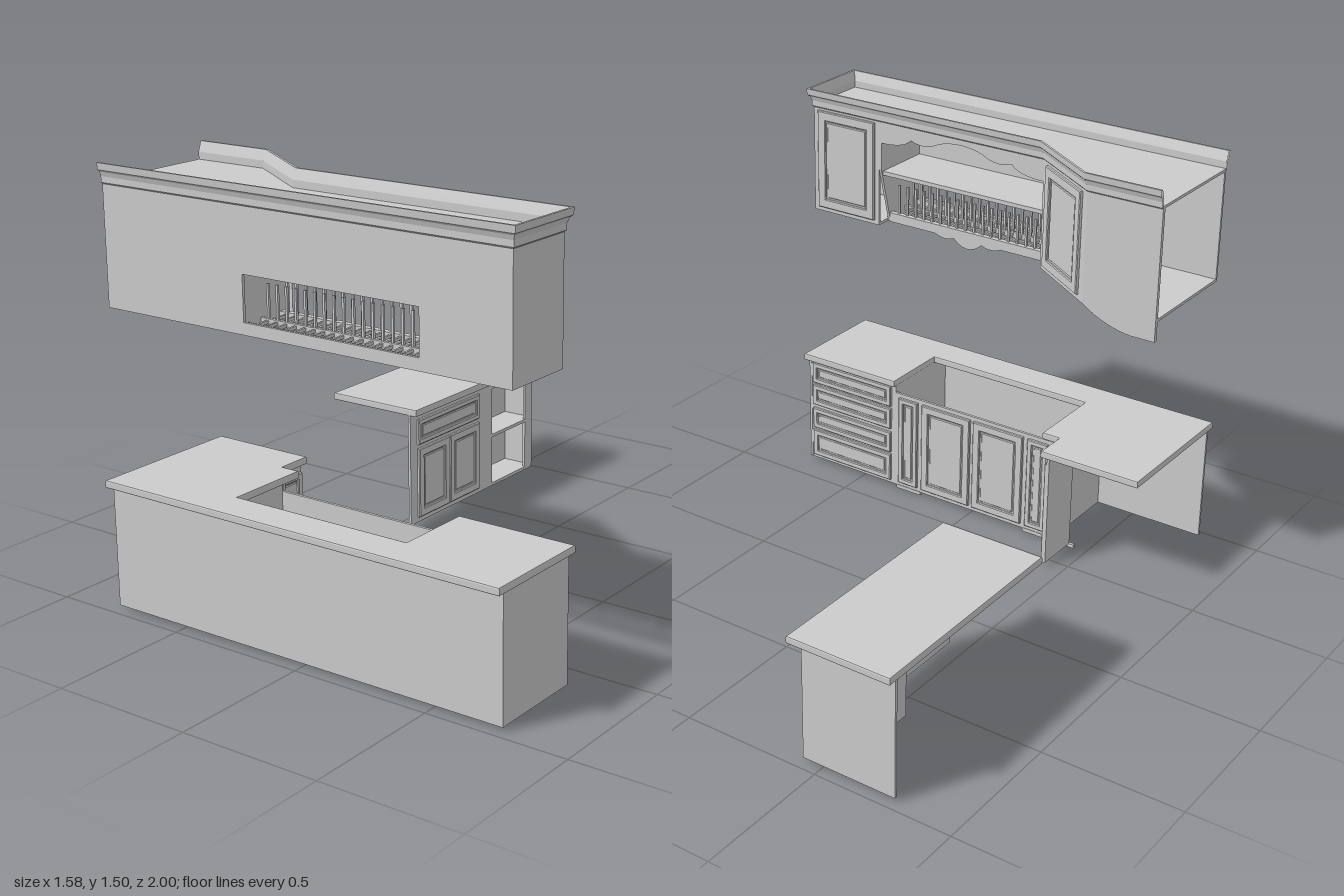
import * as THREE from 'three';

const grey = new THREE.MeshStandardMaterial({ color: 0xcccccc, side: THREE.DoubleSide });

export function createModel() {
  const root = new THREE.Group();
  root.name = 'kitchen';
  const group = (name, parent = root) => {
    const g = new THREE.Group();
    g.name = name;
    parent.add(g);
    return g;
  };
  const add = (name, geo, parent) => {
    const m = new THREE.Mesh(geo, grey);
    m.name = name;
    parent.add(m);
    return m;
  };
  // Box from its limits on each axis
  const box = (parent, name, x0, x1, y0, y1, z0, z1) => {
    const m = add(name, new THREE.BoxGeometry(x1 - x0, y1 - y0, z1 - z0), parent);
    m.position.set((x0 + x1) / 2, (y0 + y1) / 2, (z0 + z1) / 2);
    return m;
  };
  const shapeOf = pts => new THREE.Shape(pts.map(p => new THREE.Vector2(...p)));
  const rect = (x0, x1, y0, y1) => [[x0, y0], [x1, y0], [x1, y1], [x0, y1]];
  // Upright board in the xy plane, thickness towards +z
  const board = (parent, name, shape, z, depth) => {
    const m = add(name, new THREE.ExtrudeGeometry(shape, { depth, bevelEnabled: false, curveSegments: 10 }), parent);
    m.position.z = z;
    return m;
  };
  // Horizontal slab from an outline of [x, z] points
  const slab = (parent, name, pts, y, h, bevel = 0) => {
    const geo = new THREE.ExtrudeGeometry(shapeOf(pts.map(([x, z]) => [x, -z])), {
      depth: h - 2 * bevel, bevelEnabled: bevel > 0, bevelSize: bevel, bevelOffset: -bevel,
      bevelThickness: bevel, bevelSegments: 2,
    });
    geo.rotateX(-Math.PI / 2);
    const m = add(name, geo, parent);
    m.position.y = y + bevel;
    return m;
  };
  // Framed door or drawer front, centred, facing local +z
  const front = (parent, name, w, h, x, y, z, turn, frame = 0.03) => {
    const g = group(name, parent);
    const f = Math.min(frame, w * 0.24, h * 0.24), a = w / 2, b = h / 2;
    const s = shapeOf(rect(-a, a, -b, b));
    s.holes.push(new THREE.Path(rect(f - a, a - f, f - b, b - f).map(p => new THREE.Vector2(...p))));
    const bevel = { bevelEnabled: true, bevelSize: 0.003, bevelOffset: -0.003, bevelThickness: 0.003, bevelSegments: 1 };
    add('frame', new THREE.ExtrudeGeometry(s, { depth: 0.008, ...bevel }), g);
    const inner = shapeOf(rect(f - a, a - f, f - b, b - f));
    const raised = shapeOf(rect(f - a + 0.006, a - f - 0.006, f - b + 0.006, b - f - 0.006));
    add('panel', new THREE.ExtrudeGeometry(inner, { depth: 0.003, bevelEnabled: false }), g);
    add('raisedPanel', new THREE.ExtrudeGeometry(raised, { depth: 0.003, ...bevel }), g);
    g.position.set(x, y, z);
    g.rotation.y = turn;
    return g;
  };
  const BACK = Math.PI, SIDE = Math.PI / 2;

  // ---- Base cabinets along the wall
  const base = group('baseCabinets');
  slab(base, 'countertop', [[-0.785, 1], [0.765, 1], [0.765, 0.6], [0.34, 0.6], [0.34, 0.87],
    [-0.33, 0.87], [-0.33, 0.57], [-0.4, 0.57], [-0.4, 0.445], [-0.785, 0.445]], 0.435, 0.027, 0.005);
  box(base, 'backPanel', -0.785, 0.755, 0.012, 0.436, 0.955, 0.965);
  box(base, 'endPanel', 0.745, 0.755, 0.012, 0.436, 0.62, 0.955);
  box(base, 'drawerDivider', 0.345, 0.355, 0.012, 0.436, 0.63, 0.955);
  box(base, 'cornerDivider', -0.36, -0.35, 0.012, 0.436, 0.63, 0.955);
  box(base, 'drawerFace', 0.345, 0.755, 0.012, 0.436, 0.622, 0.632);
  box(base, 'doorFace', -0.36, 0.345, 0.012, 0.405, 0.622, 0.632);
  [0.385, 0.29, 0.19, 0.082].forEach((y, i) =>
    front(base, 'drawer', 0.37, i === 3 ? 0.11 : 0.085, 0.55, y, 0.622, BACK, 0.022));
  [[0.285, 0.085], [0.115, 0.215], [-0.115, 0.215], [-0.285, 0.085]].forEach(([x, w]) =>
    front(base, 'door', w, 0.36, x, 0.21, 0.622, BACK));
  box(base, 'cornerDoorFace', -0.43, -0.42, 0.012, 0.436, 0.455, 0.62);
  box(base, 'cornerReturn', -0.43, -0.35, 0.012, 0.436, 0.615, 0.625);
  front(base, 'cornerDoor', 0.115, 0.385, -0.42, 0.215, 0.515, SIDE, 0.022);
  for (const [a, b] of [[-0.45, -0.23], [0.23, 0.34]]) box(base, 'foot', a, b, 0, 0.014, 0.62, 0.632);

  // ---- Free-standing counter
  const island = group('island');
  slab(island, 'islandCountertop', [[-0.78, -0.165], [-0.4, -0.165], [-0.4, -1], [-0.78, -1]], 0.435, 0.027, 0.005);
  box(island, 'islandEndPanel', -0.775, -0.43, 0.012, 0.436, -0.965, -0.955);
  box(island, 'islandFace', -0.44, -0.43, 0.012, 0.436, -0.6, -0.17);
  front(island, 'islandDrawer', 0.385, 0.095, -0.43, 0.362, -0.402, SIDE, 0.02);
  for (const z of [-0.306, -0.499]) front(island, 'islandDoor', 0.19, 0.265, -0.43, 0.165, z, SIDE);
  // Open shelf unit
  const shelves = group('openShelves', island);
  box(shelves, 'stile', -0.44, -0.43, 0.012, 0.436, -0.69, -0.6);
  box(shelves, 'stile', -0.44, -0.43, 0.012, 0.436, -0.955, -0.917);
  box(shelves, 'topRail', -0.44, -0.43, 0.405, 0.436, -0.917, -0.69);
  for (const y of [0.012, 0.21]) box(shelves, 'shelf', -0.55, -0.43, y, y + 0.012, -0.955, -0.61);
  box(shelves, 'shelfBack', -0.56, -0.55, 0.012, 0.436, -0.955, -0.6);
  box(shelves, 'shelfSide', -0.55, -0.44, 0.012, 0.436, -0.61, -0.6);

  // ---- Wall cabinets
  const wall = group('wallCabinets');
  const outline = [[-0.78, 0.945], [0.77, 0.945], [0.77, 0.69], [-0.22, 0.69], [-0.5, 0.505], [-0.78, 0.505]];
  slab(wall, 'cabinetTop', outline, 1.43, 0.01);
  const back = shapeOf(rect(-0.78, 0.77, 1.03, 1.44));
  back.holes.push(new THREE.Path(rect(-0.21, 0.45, 1.07, 1.22).map(p => new THREE.Vector2(...p))));
  board(wall, 'wallPanel', back, 0.935, 0.01);
  // Right-hand cupboard
  box(wall, 'cupboardEnd', 0.76, 0.77, 1.03, 1.435, 0.69, 0.935);
  box(wall, 'cupboardBottom', 0.475, 0.76, 1.03, 1.04, 0.7, 0.935);
  box(wall, 'cupboardFace', 0.475, 0.77, 1.03, 1.435, 0.69, 0.7);
  front(wall, 'cupboardDoor', 0.255, 0.375, 0.62, 1.235, 0.69, BACK, 0.035);
  // Corner cupboard with its angled door
  slab(wall, 'cornerBottom', [[-0.78, 0.94], [-0.22, 0.94], [-0.22, 0.7], [-0.5, 0.515], [-0.78, 0.515]], 1.03, 0.01);
  const nx = 0.185, nz = -0.28, len = Math.hypot(nx, nz), turn = Math.atan2(nx, nz);
  const face = add('angledFace', new THREE.BoxGeometry(len, 0.405, 0.01), wall);
  face.position.set(-0.363, 1.2325, 0.602);
  face.rotation.y = turn;
  front(wall, 'angledDoor', 0.27, 0.37, -0.36, 1.235, 0.5975, turn, 0.035);
  const apron = new THREE.Shape();
  apron.moveTo(-0.78, 1.435);
  apron.lineTo(-0.78, 0.96);
  apron.lineTo(-0.69, 0.96);
  apron.bezierCurveTo(-0.62, 0.965, -0.55, 0.995, -0.5, 1.03);
  apron.lineTo(-0.5, 1.435);
  board(wall, 'curvedApron', apron, 0.505, 0.014);

  // Open middle section: sloped sides, shelf, scalloped trims
  const sideShape = shapeOf([[0.69, 1.435], [0.69, 1.25], [0.75, 1.03], [0.94, 1.03], [0.94, 1.435]]);
  for (const x of [-0.23, 0.465]) {
    const geo = new THREE.ExtrudeGeometry(sideShape, { depth: 0.01, bevelEnabled: false });
    geo.rotateY(-SIDE);
    add('middleSide', geo, wall).position.x = x + 0.01;
  }
  box(wall, 'middleShelf', -0.22, 0.465, 1.225, 1.24, 0.7, 0.935);
  const trim = new THREE.Shape();
  trim.moveTo(-0.22, 1.435);
  trim.lineTo(-0.22, 1.35);
  trim.quadraticCurveTo(-0.12, 1.35, -0.09, 1.385);
  trim.quadraticCurveTo(-0.03, 1.36, 0.03, 1.395);
  trim.quadraticCurveTo(0.1225, 1.425, 0.215, 1.395);
  trim.quadraticCurveTo(0.275, 1.36, 0.335, 1.385);
  trim.quadraticCurveTo(0.365, 1.35, 0.465, 1.35);
  trim.lineTo(0.465, 1.435);
  board(wall, 'topTrim', trim, 0.69, 0.01);
  const lower = new THREE.Shape();
  lower.moveTo(-0.22, 1.065);
  lower.lineTo(-0.22, 1.03);
  lower.lineTo(-0.02, 1.03);
  lower.quadraticCurveTo(0.02, 1.01, 0.06, 1.028);
  lower.quadraticCurveTo(0.12, 0.972, 0.18, 1.028);
  lower.quadraticCurveTo(0.22, 1.01, 0.26, 1.03);
  lower.lineTo(0.465, 1.03);
  lower.lineTo(0.465, 1.065);
  board(wall, 'lowerTrim', lower, 0.745, 0.01);

  // Plate rack
  const rack = group('plateRack', wall);
  for (let i = 0; i < 18; i++) {
    const x = -0.192 + i * 0.0367;
    for (const z of [0.76, 0.85]) box(rack, 'peg', x - 0.004, x + 0.004, 1.055, 1.175, z - 0.004, z + 0.004);
    box(rack, 'slat', x - 0.004, x + 0.004, 1.05, 1.06, 0.755, 0.935);
  }
  for (const z of [0.76, 0.85, 0.925]) box(rack, 'rail', -0.22, 0.465, 1.045, 1.065, z - 0.006, z + 0.006);

  // Crown moulding: flared profile swept round the outline with mitred corners
  const profile = [[0, 1.43], [0.005, 1.435], [0.005, 1.455], [0.01, 1.47], [0.018, 1.477],
    [0.02, 1.5], [0.012, 1.5], [0, 1.465], [0, 1.43]];
  const normal = i => {
    const [a, b] = [outline[i], outline[i + 1]];
    const l = Math.hypot(b[0] - a[0], b[1] - a[1]);
    return [-(b[1] - a[1]) / l, (b[0] - a[0]) / l];
  };
  const last = outline.length - 1, pos = [], idx = [], P = profile.length;
  outline.forEach(([x, z], i) => {
    const m = normal(Math.max(i - 1, 0)), n = normal(Math.min(i, last - 1));
    const k = 1 / (1 + m[0] * n[0] + m[1] * n[1]);
    for (const [d, y] of profile) pos.push(x + (m[0] + n[0]) * k * d, y, z + (m[1] + n[1]) * k * d);
    if (i < last) for (let j = 0; j < P - 1; j++) {
      const a = i * P + j, b = a + P;
      idx.push(a, b, a + 1, b, b + 1, a + 1);
    }
  });
  const crown = new THREE.BufferGeometry();
  crown.setAttribute('position', new THREE.Float32BufferAttribute(pos, 3));
  crown.setIndex(idx);
  const flat = crown.toNonIndexed();
  flat.computeVertexNormals();
  add('crownMoulding', flat, wall);

  return root;
}
